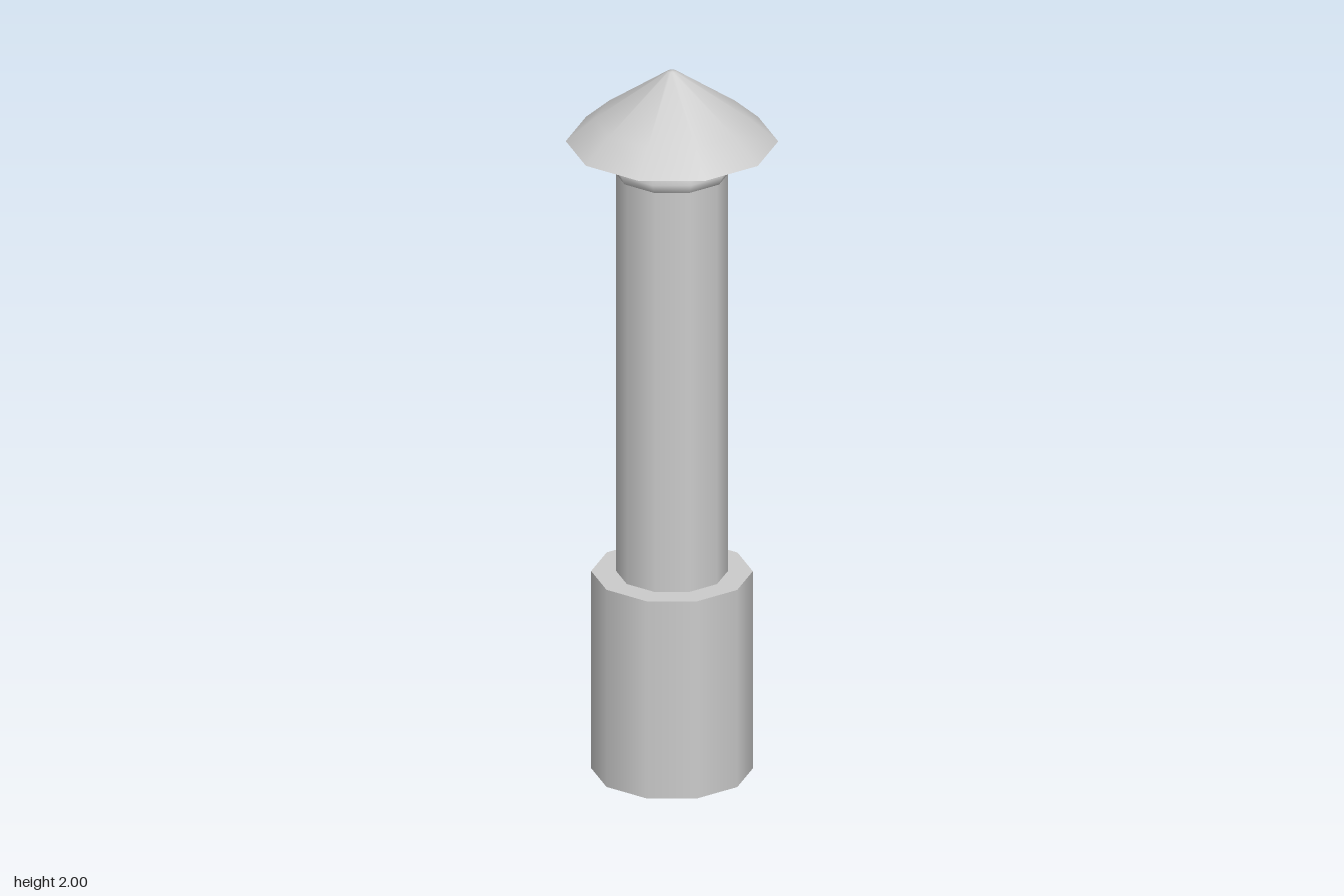
import * as THREE from 'three';

const SIDES = 10;
const PHASE = THREE.MathUtils.degToRad(12);

export function createModel() {
  const model = new THREE.Group();
  model.name = 'ventPipe';
  const material = new THREE.MeshStandardMaterial({ color: 0xcccccc, side: THREE.DoubleSide });

  // Turn a bottom-to-top [radius, height] profile into a ten-sided shell
  function shell(name, profile) {
    const points = profile.map(([r, y]) => new THREE.Vector2(r, y));
    const mesh = new THREE.Mesh(new THREE.LatheGeometry(points, SIDES, PHASE), material);
    mesh.name = name;
    mesh.position.set(-0.003, 0, -0.003);
    model.add(mesh);
  }

  // Wide socket, open at the bottom, with a flat ledge around the pipe
  shell('baseSleeve', [[0.213, 0], [0.213, 0.565]]);
  shell('baseLedge', [[0.213, 0.565], [0.147, 0.565]]);

  // Long pipe
  shell('pipe', [[0.147, 0.565], [0.147, 1.71]]);

  // Bead around the neck
  shell('neckBead', [[0.147, 1.71], [0.154, 1.712], [0.165, 1.737], [0.15, 1.764]]);

  // Cap: shallow sloping underside and a slightly convex cone
  shell('capUnderside', [[0.15, 1.764], [0.28, 1.797]]);
  shell('capRoof', [[0.28, 1.797], [0.205, 1.862], [0.012, 1.998], [0, 2]]);

  return model;
}
